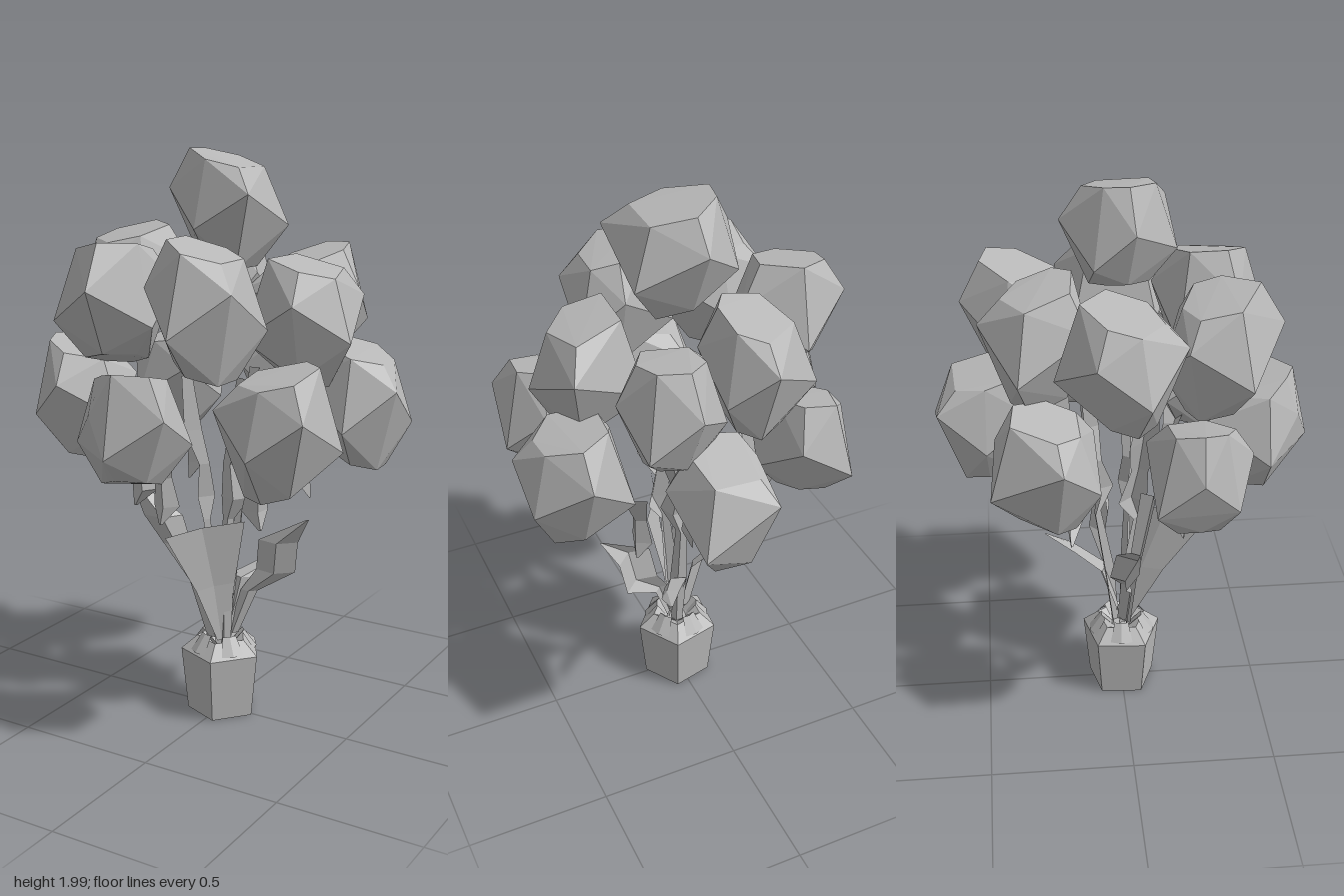
import * as THREE from 'three';
import { ConvexGeometry } from 'three/addons/geometries/ConvexGeometry.js';

const grey = new THREE.MeshStandardMaterial({ color: 0xb8b8b8, side: THREE.DoubleSide });
grey.name = 'plain grey';

// A chunky faceted bloom: a plan outline with a zigzag waist and two smaller, tilted caps.
function bloom(name, i, y0, y1, outline) {
  const h = y1 - y0, mid = (y0 + y1) / 2;
  const cx = outline.reduce((s, p) => s + p[0], 0) / outline.length;
  const cz = outline.reduce((s, p) => s + p[1], 0) / outline.length;
  const pts = [];
  outline.forEach(([x, z], k) => {
    const tilt = 0.5 + 0.5 * Math.cos(Math.atan2(z - cz, x - cx) - i * 2.1);
    const at = (s, y) => pts.push(new THREE.Vector3(cx + (x - cx) * s, y, cz + (z - cz) * s));
    at(1, mid + (k % 2 ? 0.16 : -0.14) * h);
    at(0.62, y1 - 0.16 * h * tilt);
    at(0.52, y0 + 0.16 * h * (1 - tilt));
  });
  const mesh = new THREE.Mesh(new ConvexGeometry(pts), grey);
  mesh.name = name;
  return mesh;
}

// Folded blade through [x, y, z, halfWidth] points, spread along a heading.
function blade(name, path, heading, fold = 0.3) {
  const across = new THREE.Vector3(Math.cos(heading), 0, -Math.sin(heading));
  const out = new THREE.Vector3(Math.sin(heading), 0, Math.cos(heading));
  const rows = path.map(([x, y, z, w]) => {
    const c = new THREE.Vector3(x, y, z);
    return [
      c.clone().addScaledVector(across, -w),
      c.clone().addScaledVector(out, w * fold),
      c.clone().addScaledVector(across, w)
    ];
  });
  const pts = [];
  for (let r = 0; r + 1 < rows.length; r++) {
    for (let c = 0; c < 2; c++) {
      const a = rows[r][c], b = rows[r][c + 1], d = rows[r + 1][c], e = rows[r + 1][c + 1];
      pts.push(a, b, e, a, e, d);
    }
  }
  const geo = new THREE.BufferGeometry().setFromPoints(pts);
  geo.computeVertexNormals();
  const mesh = new THREE.Mesh(geo, grey);
  mesh.name = name;
  return mesh;
}

export function createModel() {
  const group = new THREE.Group();
  group.name = 'bouquet';
  let n = 0;
  const add = (name, y0, y1, ...outline) => group.add(bloom(name, n++, y0, y1, outline));

  // Top bloom
  add('topBloom', 1.61, 2, [-0.17, -0.1], [-0.02, -0.2], [0.19, -0.11], [0.19, 0.16], [0, 0.18], [-0.19, 0.03]);

  // Ring of upper blooms
  add('upperBackLeftBloom', 1.24, 1.67, [0, -0.38], [0.15, -0.53], [0.31, -0.49], [0.35, -0.33], [0.24, -0.13], [0, -0.17]);
  add('upperBackRightBloom', 1.28, 1.72, [-0.33, -0.35], [-0.13, -0.47], [0, -0.38], [0.02, -0.2], [-0.05, -0.1], [-0.25, -0.12]);
  add('upperLeftBloom', 1.25, 1.67, [0.17, -0.15], [0.43, -0.2], [0.5, 0.04], [0.36, 0.18], [0.16, 0.14]);
  add('upperRightBloom', 1.33, 1.74, [-0.36, -0.24], [-0.18, -0.1], [-0.24, 0.1], [-0.41, 0.17], [-0.58, 0.04], [-0.55, -0.12]);
  add('upperFrontRightBloom', 1.29, 1.72, [-0.25, 0.1], [-0.07, 0.18], [-0.07, 0.32], [-0.2, 0.5], [-0.43, 0.37], [-0.41, 0.17]);
  add('upperFrontLeftBloom', 1.28, 1.74, [-0.07, 0.18], [0.13, 0.11], [0.27, 0.17], [0.26, 0.38], [0.1, 0.5], [-0.06, 0.38]);

  // Ring of lower blooms
  add('lowerBackRightBloom', 0.95, 1.36, [-0.43, -0.45], [-0.25, -0.43], [-0.17, -0.27], [-0.22, -0.11], [-0.42, -0.1], [-0.51, -0.22]);
  add('lowerBackBloom', 0.94, 1.35, [-0.13, -0.46], [-0.07, -0.62], [0.19, -0.64], [0.22, -0.4], [0.1, -0.27], [-0.1, -0.3]);
  add('lowerBackLeftBloom', 0.95, 1.38, [0.28, -0.3], [0.44, -0.36], [0.6, -0.24], [0.61, -0.08], [0.48, 0.05], [0.26, -0.04]);
  add('lowerFrontLeftBloom', 0.93, 1.36, [0.19, 0.18], [0.43, 0.09], [0.55, 0.18], [0.52, 0.4], [0.35, 0.45], [0.18, 0.36]);
  add('lowerFrontBloom', 0.93, 1.34, [-0.27, 0.47], [-0.14, 0.58], [-0.05, 0.63], [0.11, 0.53], [0.08, 0.32], [-0.17, 0.27]);
  add('lowerRightBloom', 0.95, 1.37, [-0.58, 0.06], [-0.61, 0.2], [-0.56, 0.32], [-0.42, 0.38], [-0.25, 0.25], [-0.32, 0.05]);

  // Five-sided pot
  const profile = [[0, 0.01], [0.125, 0.01], [0.148, 0.24], [0.09, 0.29], [0.04, 0.26], [0, 0.26]];
  const potGeo = new THREE.LatheGeometry(
    profile.map(([r, y]) => new THREE.Vector2(r, y)), 5, 1.5).toNonIndexed();
  potGeo.computeVertexNormals();
  const pot = new THREE.Mesh(potGeo, grey);
  pot.name = 'pot';
  group.add(pot);

  // Pointed sepals around the pot's mouth
  for (let i = 0; i < 5; i++) {
    const a = i * Math.PI * 0.4 + 0.87, s = Math.sin(a), c = Math.cos(a);
    group.add(blade('potSepal', [
      [0.03 * s, 0.26, 0.03 * c, 0.02], [0.07 * s, 0.31, 0.07 * c, 0.025], [0.11 * s, 0.25, 0.11 * c, 0.04]
    ], a));
  }

  // Broad leaf at the front
  group.add(blade('frontLeaf', [
    [0.01, 0.28, 0.02, 0.02], [0.02, 0.5, 0.08, 0.08], [0.035, 0.74, 0.17, 0.16]
  ], 1.13, -0.15));

  // Bent side leaves
  group.add(blade('leftLeaf', [
    [0.03, 0.3, -0.02, 0.02], [0.08, 0.46, -0.05, 0.03], [0.17, 0.54, -0.08, 0.07],
    [0.19, 0.66, -0.06, 0.07], [0.31, 0.76, -0.05, 0.004]
  ], 0.3, 0.5));
  group.add(blade('backLeaf', [
    [0.02, 0.32, -0.02, 0.02], [0.04, 0.5, -0.08, 0.05], [0.1, 0.54, -0.17, 0.04], [0.14, 0.58, -0.27, 0.004]
  ], 0.2, 0.6));
  group.add(blade('rightLeaf', [
    [-0.03, 0.28, 0, 0.03], [-0.09, 0.48, 0.01, 0.035], [-0.21, 0.59, -0.03, 0.05],
    [-0.25, 0.7, 0, 0.07], [-0.32, 0.78, 0.02, 0.03], [-0.3, 1, 0.06, 0.04]
  ], 0.5, 0.6));

  // Central stems zigzagging up to the blooms
  const stems = [[0.06, 0.02, 0.3], [-0.05, 0.06, 1.6], [0.03, -0.08, 2.6]];
  for (const [x, z, a] of stems) {
    group.add(blade('stem', [
      [0.2 * x, 0.25, 0.2 * z, 0.02], [0.3 * x, 0.5, 0.5 * z, 0.03], [0.6 * x, 0.74, z, 0.02],
      [x, 0.82, 0.6 * z, 0.05], [0.8 * x, 0.94, z, 0.03], [1.6 * x, 1.06, 1.2 * z, 0.05], [1.8 * x, 1.25, 1.5 * z, 0.03]
    ], a, 0.8));
  }

  // Crumpled tails hanging below the lower blooms
  const tails = [
    [-0.22, 0.18, 0.3], [0.25, 0.2, 0.8], [-0.04, 0.31, 0.2], [0.22, -0.19, 2],
    [-0.24, -0.18, 2.6], [0.04, -0.22, 1.2]
  ];
  for (const [x, z, a] of tails) {
    group.add(blade('bloomTail', [
      [x * 1.15, 1.08, z * 1.15, 0.06], [x, 0.95, z, 0.03], [x * 0.95, 0.85, z * 0.95, 0.045], [x * 1.08, 0.79, z * 1.05, 0.006]
    ], a, 0.8));
  }
  return group;
}
